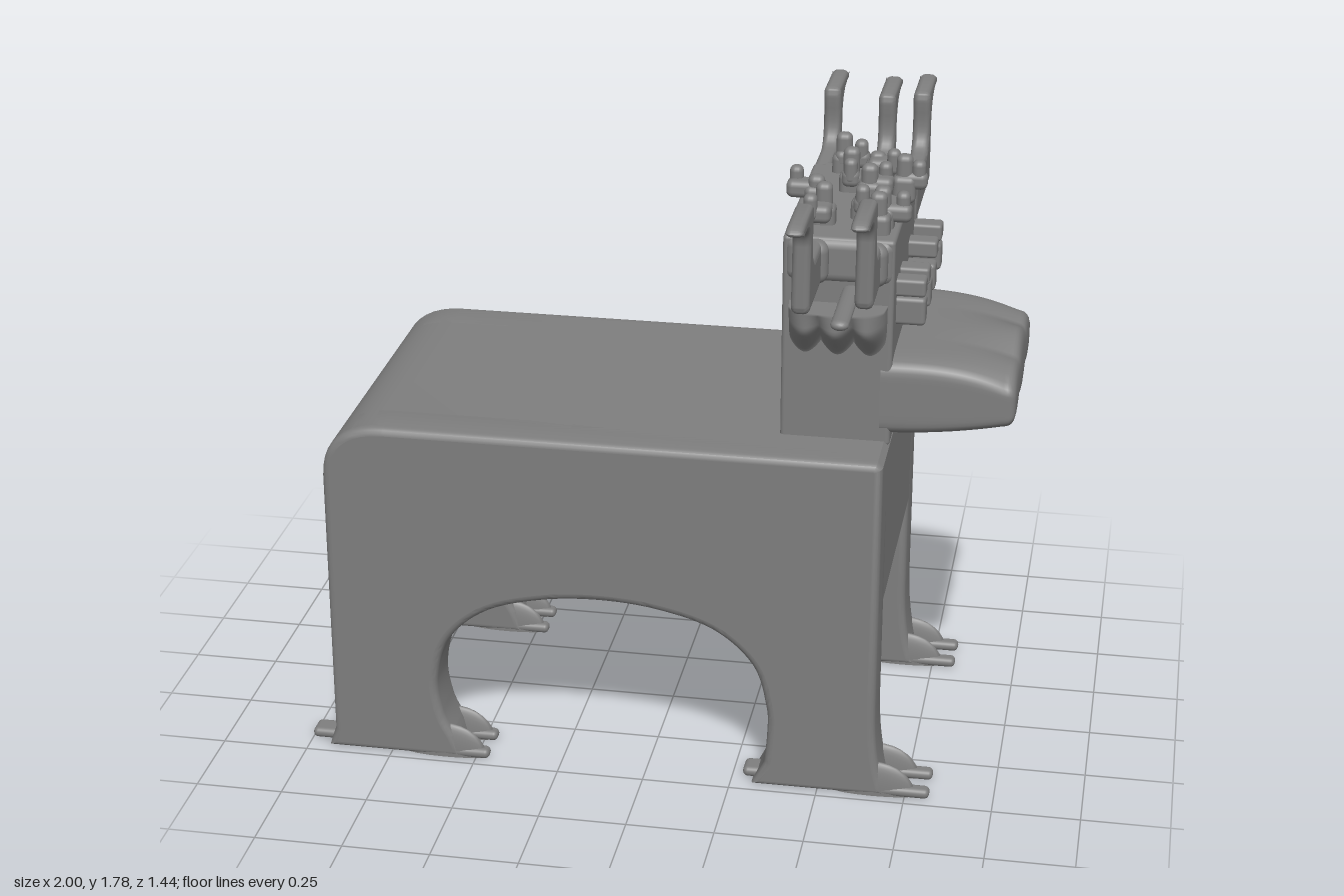
import * as THREE from 'three';
import { toCreasedNormals } from 'three/addons/utils/BufferGeometryUtils.js';
import { RoundedBoxGeometry } from 'three/addons/geometries/RoundedBoxGeometry.js';
import { ParametricGeometry } from 'three/addons/geometries/ParametricGeometry.js';

const material = new THREE.MeshStandardMaterial({ color: 0x7e7e7e });
const openMaterial = new THREE.MeshStandardMaterial({ color: 0x7e7e7e, side: THREE.DoubleSide });

function add(parent, name, geometry, x = 0, y = 0, z = 0, mat = material) {
  const mesh = new THREE.Mesh(geometry, mat);
  mesh.name = name;
  mesh.position.set(x, y, z);
  parent.add(mesh);
  return mesh;
}

// Bevelled slab centred on its own z, keeping the drawn outline and flat caps
function slab(shape, width, bevel, segments = 4) {
  const extruded = new THREE.ExtrudeGeometry(shape, {
    depth: width - 2 * bevel, bevelThickness: bevel, bevelSize: bevel,
    bevelOffset: -bevel, bevelSegments: segments, curveSegments: 10,
  });
  extruded.translate(0, 0, -(width - 2 * bevel) / 2);
  const caps = extruded.groups[0];
  const g = toCreasedNormals(extruded, 0.6);
  const { position, normal } = g.attributes;
  for (let i = caps.start; i < caps.start + caps.count; i++) {
    if (Math.abs(position.getZ(i)) > width / 2 - 1e-4) normal.setXYZ(i, 0, 0, Math.sign(position.getZ(i)));
  }
  return g;
}

const box = (w, h, d, r) => new RoundedBoxGeometry(w, h, d, 3, r);
const vectors = (list) => list.map(([a, b]) => new THREE.Vector2(a, b));

// Rounded back and top edge shared by the trunk and the side walls
function topOutline(shape) {
  shape.lineTo(0.66, 1.015);
  shape.lineTo(0.645, 1.03);
  shape.lineTo(-0.74, 1.03);
  shape.bezierCurveTo(-0.86, 1.03, -0.92, 0.97, -0.92, 0.87);
}

function buildBody(group) {
  const trunk = new THREE.Shape();
  trunk.moveTo(-0.92, 0.56);
  trunk.lineTo(0.66, 0.56);
  topOutline(trunk);
  add(group, 'trunk', slab(trunk, 0.9, 0.003, 1));

  // Each wall carries a front and a hind leg with an arch between
  const wall = new THREE.Shape();
  wall.moveTo(0.31, 0);
  wall.lineTo(0.7, 0);
  wall.quadraticCurveTo(0.66, 0.1, 0.66, 0.27);
  topOutline(wall);
  wall.lineTo(-0.92, 0.06);
  wall.lineTo(-0.94, 0);
  wall.lineTo(-0.54, 0);
  wall.lineTo(-0.56, 0.07);
  wall.splineThru(vectors([
    [-0.593, 0.14], [-0.607, 0.25], [-0.57, 0.38], [-0.46, 0.48], [-0.3, 0.53],
    [-0.13, 0.545], [0.04, 0.53], [0.2, 0.48], [0.31, 0.38], [0.35, 0.25], [0.353, 0.16], [0.345, 0.07],
  ]));

  // Fillet under the trunk, along the inside of each leg
  const fillet = new THREE.Shape(vectors([[0.33, 0.57], [0.27, 0.57], [0.27, 0.56]]));
  fillet.quadraticCurveTo(0.315, 0.555, 0.325, 0.46);

  for (const s of [1, -1]) {
    add(group, 'sideWallWithLegs', slab(wall, 0.155, 0.022), 0, 0, s * 0.3975);
    for (const x of [0.505, -0.765]) {
      const mesh = add(group, 'fillet', slab(fillet, 0.28, 0.001, 1), x);
      mesh.rotation.y = -s * Math.PI / 2;
    }
  }
}

function buildFeet(group) {
  const dome = new THREE.SphereGeometry(1, 16, 8, 0, Math.PI * 2, 0, Math.PI / 2);
  const claw = box(0.2, 0.03, 0.042, 0.0145);
  const heel = box(0.16, 0.03, 0.07, 0.0145);
  for (const s of [1, -1]) {
    for (const [front, back, leg] of [[0.82, 0.28, 0.66], [-0.46, -1, -0.59]]) {
      for (const z of [0.345, 0.452]) {
        add(group, 'toeClaw', claw, front - 0.1, 0.015, s * z);
        add(group, 'toeKnuckle', dome, leg, 0, s * z, openMaterial).scale.set(0.12, 0.1, 0.022);
      }
      add(group, 'heelClaw', heel, back + 0.08, 0.015, s * 0.4);
    }
  }
}

// Muzzle: a rectangular section that becomes a round nose with drooping lobes beside it
function buildMuzzle(group) {
  const section = (t, a) => {
    const c = Math.cos(a), s = Math.sin(a);
    const k = 1 / Math.pow(Math.pow(Math.abs(c), 8) + Math.pow(Math.abs(s), 8), 1 / 8);
    const w = c * k, h = s * k;
    const lobe = Math.abs(Math.cos(w * Math.PI * 1.25));
    const top = 0.045 + 0.025 * lobe + 0.035 * (1 - w * w);
    const bottom = 0.04 + 0.05 * lobe * (1 - 0.45 * w * w);
    const tip = 1.155 - 0.01 * w * w + h * (s > 0 ? top : bottom);
    const blend = s > 0 ? t * t * t : t * t;
    return [w * (0.315 - 0.02 * t), THREE.MathUtils.lerp(1.155 + h * 0.115, tip, blend)];
  };
  const skin = new ParametricGeometry((u, v, p) => {
    const t = Math.min(v / 0.8, 1);
    const closing = Math.max(0, (v - 0.8) / 0.2);
    const shrink = Math.sqrt(Math.max(0, 1 - closing * closing));
    const [z, y] = section(t, u * Math.PI * 2);
    p.set(0.63 + 0.34 * t + 0.03 * Math.sin(closing * Math.PI / 2),
      1.155 + (y - 1.155) * shrink, z * (0.85 + 0.15 * shrink));
  }, 72, 28);
  add(group, 'muzzle', skin, 0, 0, 0, openMaterial);
}

function buildHead(group) {
  add(group, 'head', box(0.305, 0.6, 0.62, 0.012), 0.5075, 1.315, 0);
  add(group, 'brow', box(0.3, 0.13, 0.64, 0.03), 0.51, 1.55, 0);

  // Ears: flat on top, falling in pleats that gather towards the cheek
  for (const s of [1, -1]) {
    const ear = new ParametricGeometry((u, v, p) => {
      const pleat = Math.abs(Math.sin(u * Math.PI * 3));
      const side = Math.pow(Math.sin(u * Math.PI), 0.25);
      const drop = Math.max(0, (v - 0.25) / 0.75);
      const out = v < 0.25 ? v / 0.25 : 1 - THREE.MathUtils.smoothstep(drop, 0.3, 1);
      const reach = 0.105 * out * side * (1 - drop * 0.7 * (1 - pleat));
      p.set(0.51 + 0.27 * (u - 0.5), 1.43 - drop * (0.13 + 0.035 * pleat), s * (0.305 + reach));
    }, 48, 24);
    add(group, 'ear', ear, 0, 0, 0, openMaterial);
  }

  // Two rows of blocky studs on the face
  for (const z of [0.22, 0.125, -0.09, -0.23]) {
    add(group, 'upperStud', box(0.1, 0.05, 0.06, 0.01), 0.69, 1.46, z);
  }
  for (const z of [0.21, 0.065, -0.06, -0.23]) {
    add(group, 'lowerStud', box(0.1, 0.08, 0.058, 0.012), 0.69, 1.388, z);
  }
}

function buildAntlers(group) {
  const profile = new THREE.Shape();
  profile.moveTo(0.2, 1.49);
  profile.lineTo(0.56, 1.49);
  profile.quadraticCurveTo(0.585, 1.49, 0.585, 1.52);
  profile.lineTo(0.575, 1.68);
  profile.quadraticCurveTo(0.58, 1.735, 0.65, 1.742);
  profile.quadraticCurveTo(0.72, 1.75, 0.72, 1.765);
  profile.quadraticCurveTo(0.715, 1.78, 0.67, 1.78);
  profile.lineTo(0.52, 1.78);
  profile.quadraticCurveTo(0.5, 1.78, 0.505, 1.74);
  profile.quadraticCurveTo(0.53, 1.615, 0.46, 1.61);
  profile.lineTo(0.2, 1.61);
  const antler = slab(profile, 0.05, 0.017);
  const root = box(0.085, 0.12, 0.09, 0.03);

  // side, x, reach
  for (const [s, x, reach] of [
    [-1, 0.38, 0.72], [-1, 0.545, 0.68], [-1, 0.642, 0.72],
    [1, 0.44, 0.715], [1, 0.6, 0.65],
  ]) {
    const mesh = add(group, 'antler', antler, x, 0, s * (reach - 0.72));
    mesh.rotation.y = -s * Math.PI / 2;
    add(group, 'antlerRoot', root, THREE.MathUtils.clamp(x, 0.4, 0.615), 1.55, s * 0.31);
  }
  // Short straight tines below the antlers
  for (const [s, x] of [[-1, 0.44], [1, 0.545]]) {
    const tine = add(group, 'tine', new THREE.CapsuleGeometry(0.02, 0.26, 6, 14), x, 1.468, s * 0.435);
    tine.rotation.x = Math.PI / 2;
    tine.scale.x = 1.25;
    tine.scale.z = 0.75;
  }
}

// Crown of knobs: a stump, an upright prong and a bent sideways arm
function buildCrown(group) {
  for (const [x, z, top, dx, dz] of [
    [0.45, -0.255, 1.73, 0.05, 0.01], [0.55, -0.22, 1.69, 0.05, 0.045],
    [0.49, -0.095, 1.74, 0, 0.02], [0.64, -0.09, 1.73, 0.04, 0],
    [0.55, -0.02, 1.72, 0.04, -0.04], [0.41, 0.04, 1.7, -0.06, -0.03],
    [0.55, 0.125, 1.69, 0, 0.02], [0.45, 0.185, 1.73, -0.03, 0.06],
    [0.61, 0.19, 1.73, 0.055, -0.01], [0.605, 0.24, 1.73, 0, 0],
  ]) {
    const knob = new THREE.Group();
    knob.name = 'crownKnob';
    knob.position.set(x, 1.6, z);
    const height = top - 1.6;
    add(knob, 'stump', box(0.066, 0.08, 0.06, 0.018), 0, 0.03, 0);
    add(knob, 'prong', box(0.046, height, 0.042, 0.018), 0, height / 2, 0);
    if (dx || dz) {
      add(knob, 'arm', box(0.05 + Math.abs(dx), 0.05, 0.045 + Math.abs(dz) * 0.6, 0.018), dx / 2, 0.055, dz / 2);
      add(knob, 'armTip', box(0.038, 0.075, 0.04, 0.017), dx, 0.077, dz);
    }
    group.add(knob);
  }
}

export function createModel() {
  const model = new THREE.Group();
  model.name = 'hornedBeast';
  for (const [name, build] of [
    ['body', buildBody], ['feet', buildFeet], ['headBlock', buildHead],
    ['snout', buildMuzzle], ['antlers', buildAntlers], ['crown', buildCrown],
  ]) {
    const part = new THREE.Group();
    part.name = name;
    build(part);
    model.add(part);
  }
  return model;
}
